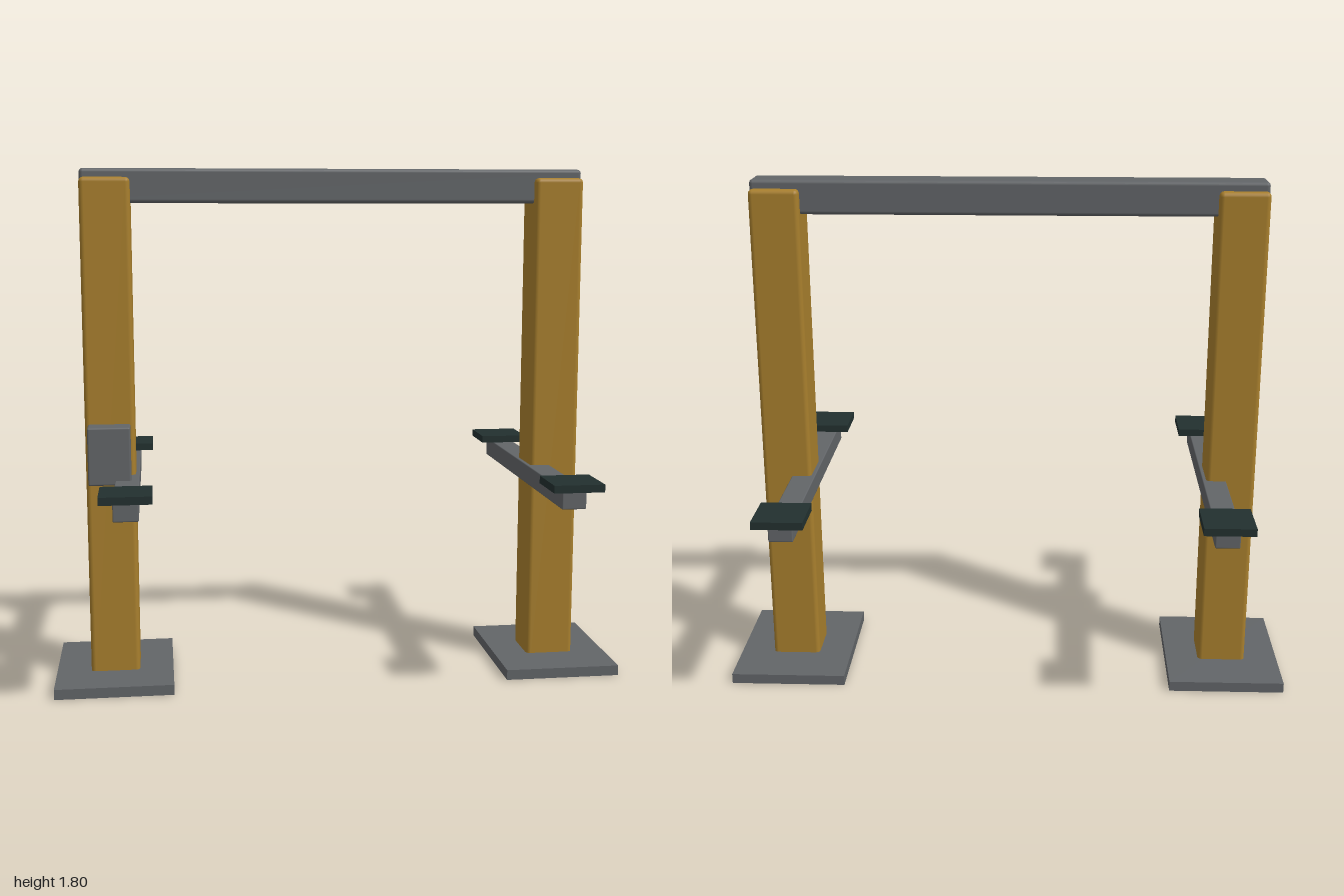
import * as THREE from 'three';
import { RoundedBoxGeometry } from 'three/addons/geometries/RoundedBoxGeometry.js';

function material(name, color) {
  const m = new THREE.MeshStandardMaterial({ color });
  m.name = name;
  return m;
}

export function createModel() {
  const model = new THREE.Group();
  model.name = 'gantryFrame';
  const ochre = material('ochre', 0xa87f2d);
  const grey = material('steelGrey', 0x626568);
  const dark = material('darkPad', 0x22302f);

  // Box given by its limits on each axis, with an optional softened edge
  function block(name, mat, [x0, x1], [y0, y1], [z0, z1], radius = 0) {
    const size = [x1 - x0, y1 - y0, z1 - z0];
    const geometry = radius
      ? new RoundedBoxGeometry(...size, 2, radius)
      : new THREE.BoxGeometry(...size);
    const mesh = new THREE.Mesh(geometry, mat);
    mesh.name = name;
    mesh.position.set((x0 + x1) / 2, (y0 + y1) / 2, (z0 + z1) / 2);
    model.add(mesh);
  }

  // Limits mirrored to one side
  const flip = (s, a, b) => (s > 0 ? [a, b] : [-b, -a]);

  for (const s of [1, -1]) {
    const side = s > 0 ? 'left' : 'right';
    block(side + 'BasePlate', grey, flip(s, 0.59, 1), [0, 0.036], [-0.264, 0.264]);
    block(side + 'Post', ochre, flip(s, 0.708, 0.88), [0.002, 1.77], [-0.086, 0.086], 0.016);
    // Arm running through the post, with a pad on each end
    block(side + 'Arm', grey, flip(s, 0.695, 0.778), [0.676, 0.744], [-0.53, 0.53], 0.004);
    for (const f of [1, -1]) {
      block(side + (f > 0 ? 'FrontPad' : 'BackPad'), dark,
        flip(s, 0.65, 0.821), [0.744, 0.77], flip(f, 0.412, 0.588));
    }
  }

  // Crossbeam joining the post tops
  block('crossbeam', grey, [-0.879, 0.879], [1.682, 1.8], [-0.058, 0.058], 0.013);

  // Control box in front of the right post
  block('controlBox', grey, [-0.868, -0.723], [0.728, 0.928], [0.104, 0.192], 0.006);

  return model;
}
